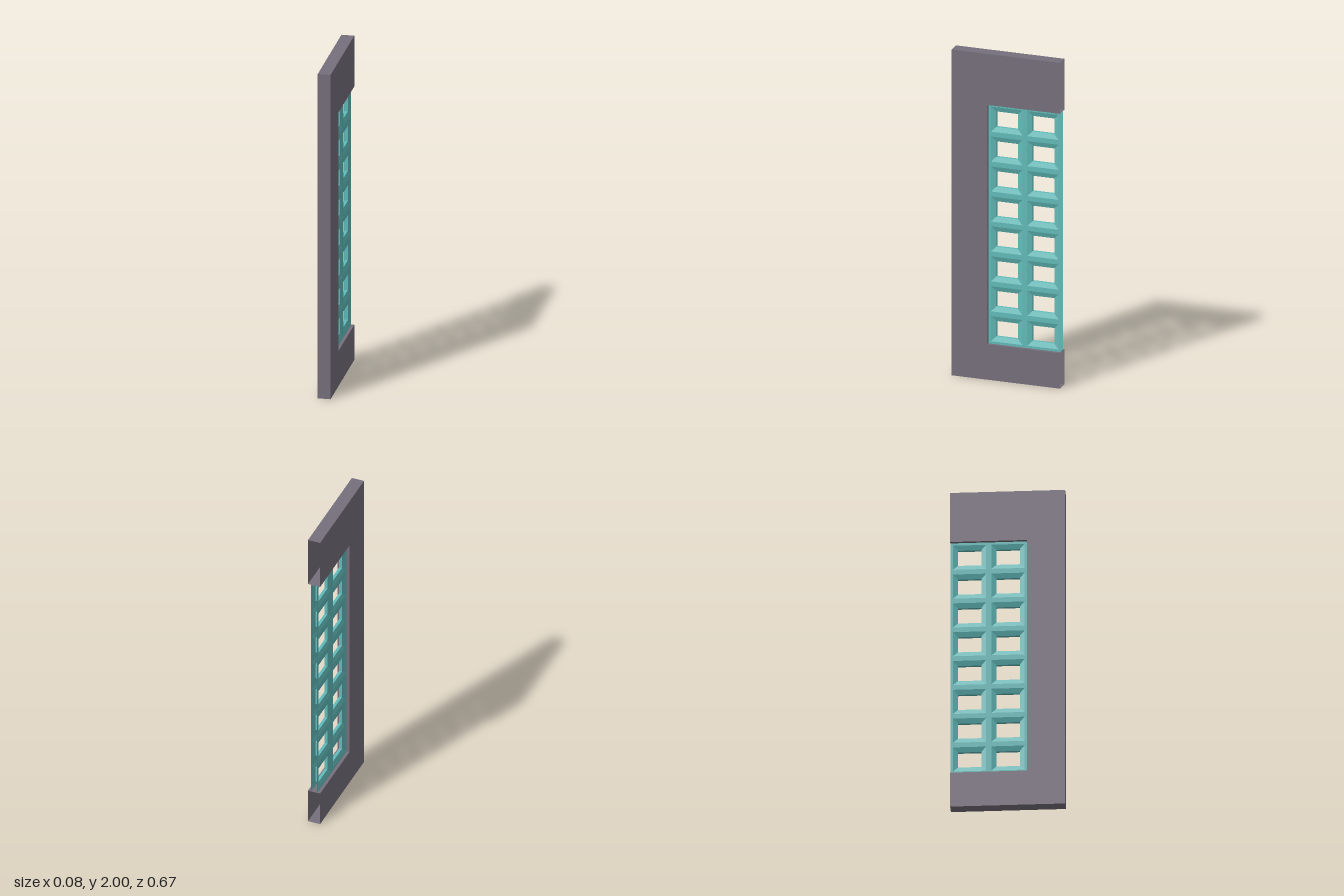
import * as THREE from 'three';
import { mergeGeometries } from 'three/addons/utils/BufferGeometryUtils.js';

// Flat-faced surface through successive rings of [x, y, z] points
function loft(rings, closed) {
  const pos = [];
  for (let i = 0; i < rings.length - 1; i++) {
    const r = rings[i], s = rings[i + 1], n = r.length;
    for (let j = 0; j < (closed ? n : n - 1); j++) {
      const k = (j + 1) % n;
      pos.push(...r[j], ...s[j], ...s[k], ...r[j], ...s[k], ...r[k]);
    }
  }
  const g = new THREE.BufferGeometry();
  g.setAttribute('position', new THREE.Float32BufferAttribute(pos, 3));
  g.computeVertexNormals();
  return g;
}

// Rectangle at depth x, starting at the back bottom corner
const rect = (x, z0, z1, y0, y1) => [[x, y0, z0], [x, y0, z1], [x, y1, z1], [x, y1, z0]];

export function createModel() {
  const model = new THREE.Group();
  const wallMat = new THREE.MeshStandardMaterial({ color: 0x766f7c, side: THREE.DoubleSide });
  const latticeMat = new THREE.MeshStandardMaterial({ color: 0x62bcbb, side: THREE.DoubleSide });

  const back = -0.333, front = 0.333, halfWall = 0.038;
  const open = { z: 0.113, y0: 0.217, y1: 1.687 };

  // C-shaped wall, hollow and open at its back end
  const outer = x => rect(x, back, front, 0, 2);
  const inner = x => rect(x, back, open.z, open.y0, open.y1);
  const wall = new THREE.Mesh(loft([
    outer(halfWall), inner(halfWall), inner(-halfWall), outer(-halfWall), outer(halfWall),
  ], false), wallMat);
  wall.name = 'wallFrame';
  model.add(wall);

  // Lattice of bevelled cells, 2 wide and 8 high
  const cols = 2, rows = 8;
  const w = (open.z - back) / cols, h = (open.y1 - open.y0) / rows;
  const ridge = 0.015, margin = 0.044;
  const profile = [[0.019, 0], [0.019, ridge], [0.009, margin], [-0.009, margin], [-0.019, ridge], [-0.019, 0]];
  const cells = [];
  for (let c = 0; c < cols; c++) {
    for (let r = 0; r < rows; r++) {
      const z = back + c * w, y = open.y0 + r * h;
      cells.push(loft(profile.map(([x, m]) => rect(x, z + m, z + w - m, y + m, y + h - m)), true));
    }
  }
  const lattice = new THREE.Mesh(mergeGeometries(cells), latticeMat);
  lattice.name = 'windowLattice';
  model.add(lattice);

  return model;
}
